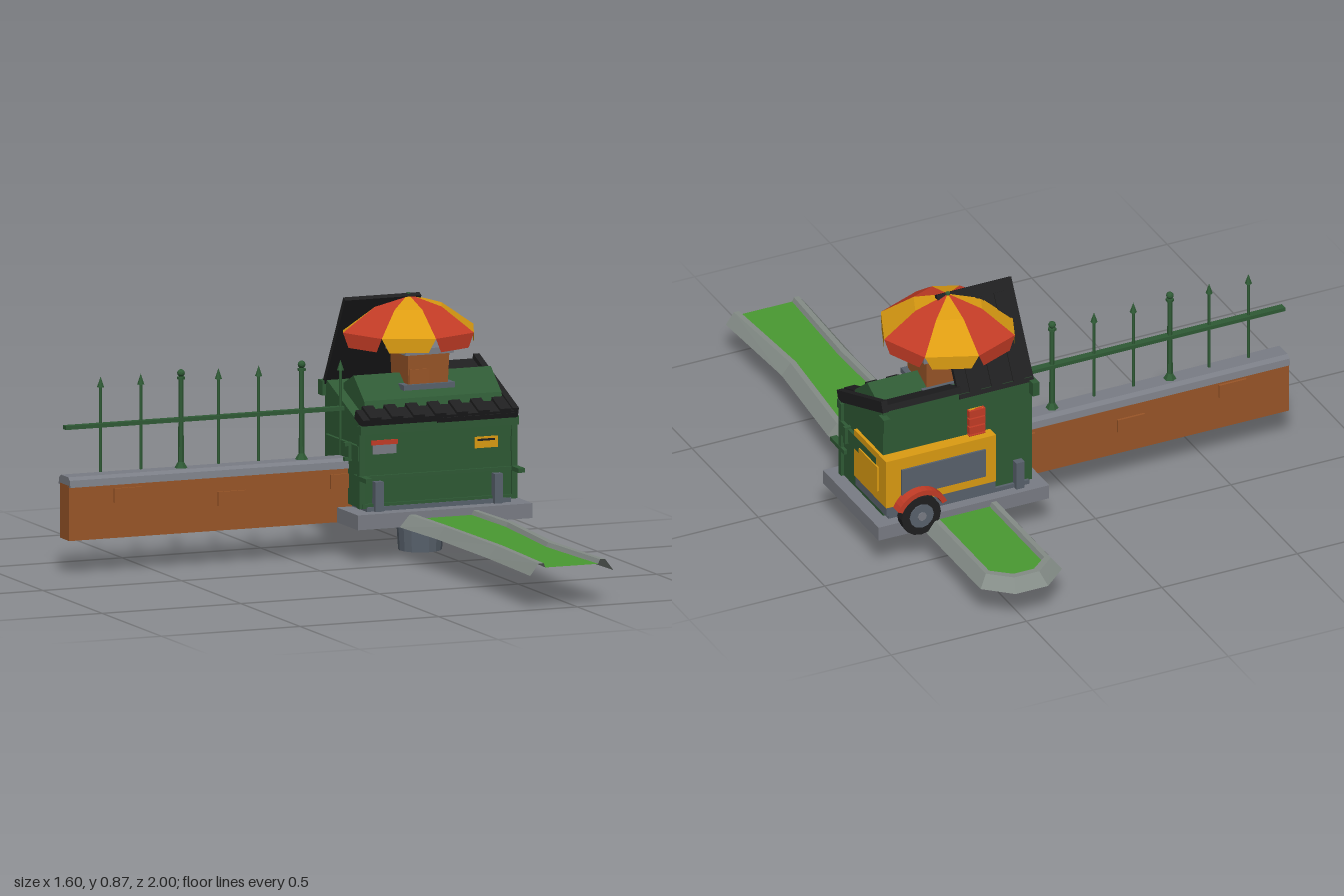
import * as THREE from 'three';

const mat = (name, color, side = THREE.FrontSide) =>
  new THREE.MeshStandardMaterial({ name, color, side, flatShading: true });

export function createModel() {
  const M = {
    green: mat('dark green', 0x2f5a35), grass: mat('grass green', 0x4a9a32, THREE.DoubleSide),
    brick: mat('brick brown', 0x9a5628), stone: mat('stone grey', 0x7a7d85),
    curb: mat('curb grey', 0x848c87, THREE.DoubleSide), slate: mat('slate grey', 0x59626d),
    black: mat('black', 0x1f1f20), yellow: mat('yellow', 0xdc9c12, THREE.DoubleSide),
    red: mat('red', 0xc43c26, THREE.DoubleSide), blue: mat('blue', 0x2c6aa8),
  };
  const root = new THREE.Group();
  root.name = 'dumpsterCorner';

  const add = (name, geo, m, x = 0, y = 0, z = 0, rx = 0) => {
    const mesh = new THREE.Mesh(geo, m);
    mesh.name = name;
    mesh.position.set(x, y, z);
    mesh.rotation.x = rx;
    root.add(mesh);
    return mesh;
  };
  // Box given by its limits on each axis
  const box = (name, m, [x0, x1], [y0, y1], [z0, z1]) =>
    add(name, new THREE.BoxGeometry(x1 - x0, y1 - y0, z1 - z0), m, (x0 + x1) / 2, (y0 + y1) / 2, (z0 + z1) / 2);
  const cyl = (name, m, rTop, rBot, h, n, x, y, z, rx = 0) =>
    add(name, new THREE.CylinderGeometry(rTop, rBot, h, n), m, x, y, z, rx);
  const shape = (pts) => new THREE.Shape(pts.map(([a, b]) => new THREE.Vector2(a, b)));
  // Side profile of [z, y] points, extruded along x
  const profileX = (name, m, pts, x0, x1) => {
    const geo = new THREE.ExtrudeGeometry(shape(pts.map(([z, y]) => [-z, y])), { depth: x1 - x0, bevelEnabled: false });
    return add(name, geo.rotateY(Math.PI / 2), m, x0);
  };
  const triMesh = (name, m, tris) => {
    const geo = new THREE.BufferGeometry();
    geo.setAttribute('position', new THREE.Float32BufferAttribute(tris.flat(2), 3));
    geo.computeVertexNormals();
    return add(name, geo, m);
  };

  // Grass path with sloping curbs
  const curbProfile = [[0, 0.115], [0.55, 0.155], [0.88, 0.155], [1, 0.14]];
  const curb = (name, outer, inner) => {
    const tris = [];
    const at = (i, [t, y]) => [
      THREE.MathUtils.lerp(outer[i][0], inner[i][0], t), y, THREE.MathUtils.lerp(outer[i][1], inner[i][1], t)];
    for (let i = 0; i + 1 < outer.length; i++) {
      for (let j = 0; j < 3; j++) {
        const [a, b] = [at(i, curbProfile[j]), at(i + 1, curbProfile[j])];
        const [c, d] = [at(i, curbProfile[j + 1]), at(i + 1, curbProfile[j + 1])];
        tris.push([a, c, b], [b, c, d]);
      }
    }
    triMesh(name, M.curb, tris);
  };
  const lawn = (name, pts) =>
    add(name, new THREE.ShapeGeometry(shape(pts.map(([x, z]) => [x, -z]))).rotateX(-Math.PI / 2), M.grass, 0, 0.14, 0);
  const outL = [[0.33, 1], [0.34, 0.62], [0.335, 0.2], [0.315, -0.08]];
  const inL = [[0.385, 1], [0.4, 0.62], [0.39, 0.2], [0.38, -0.08]];
  const outR = [[0.63, 1], [0.61, 0.62], [0.645, 0.2], [0.625, -0.08]];
  const inR = [[0.575, 1], [0.55, 0.62], [0.585, 0.2], [0.575, -0.08]];
  const outB = [[0.33, -0.47], [0.33, -0.92], [0.42, -1], [0.54, -1], [0.63, -0.92], [0.63, -0.47]];
  const inB = [[0.385, -0.47], [0.385, -0.88], [0.445, -0.93], [0.515, -0.93], [0.575, -0.88], [0.575, -0.47]];
  curb('frontCurbA', outL, inL);
  curb('frontCurbB', outR, inR);
  curb('backCurb', outB, inB);
  lawn('frontGrass', [...inL, ...[...inR].reverse()]);
  lawn('backGrass', inB);

  // Slab with an open pit underneath
  const slab = shape([[0.165, 0.068], [0.795, 0.068], [0.795, 0.488], [0.165, 0.488]]);
  slab.holes.push(new THREE.Path([[0.25, 0.13], [0.25, 0.43], [0.71, 0.43], [0.71, 0.13]].map(([a, b]) => new THREE.Vector2(a, b))));
  add('slab', new THREE.ExtrudeGeometry(slab, { depth: 0.05, bevelEnabled: false }).rotateX(-Math.PI / 2), M.stone, 0, 0.115, 0);
  box('basePlate', M.slate, [0.22, 0.74], [0.16, 0.18], [-0.45, -0.12]);
  cyl('footing', M.slate, 0.084, 0.073, 0.17, 16, 0.478, 0.085, -0.275);
  box('pitTank', M.blue, [0.57, 0.67], [0.12, 0.16], [-0.36, -0.2]);
  box('pitTankSmall', M.blue, [0.29, 0.36], [0.125, 0.16], [-0.4, -0.32]);
  for (const z of [-0.4, -0.16]) box('pitPipe', M.brick, [0.25, 0.71], [0.125, 0.14], [z - 0.008, z + 0.008]);

  // Garden wall with raised bricks
  box('wall', M.brick, [-0.8, 0.22], [0.115, 0.3], [-0.325, -0.245]);
  profileX('wallCap', M.stone, [[-0.235, 0.295], [-0.24, 0.318], [-0.255, 0.328], [-0.315, 0.328], [-0.33, 0.318], [-0.335, 0.295]], -0.8, 0.22);
  for (const [x, y] of [[-0.59, 0.258], [-0.215, 0.222], [0.19, 0.253]]) {
    box('raisedBrick', M.brick, [x - 0.05, x + 0.05], [y - 0.024, y + 0.024], [-0.333, -0.237]);
  }

  // Iron fence
  box('fenceRail', M.green, [-0.8, 0.22], [0.484, 0.497], [-0.298, -0.272]);
  [-0.67, -0.525, -0.38, -0.245, -0.1, 0.055, 0.195].forEach((x, i) => {
    const z = -0.285;
    if (i % 3 === 2) {
      cyl('fencePost', M.green, 0.008, 0.01, 0.31, 6, x, 0.48, z);
      cyl('postFoot', M.green, 0.01, 0.022, 0.02, 6, x, 0.338, z);
      cyl('postCollar', M.green, 0.014, 0.014, 0.008, 6, x, 0.63, z);
      add('postBall', new THREE.IcosahedronGeometry(0.013, 1), M.green, x, 0.647, z);
    } else {
      cyl('fenceSpike', M.green, 0.005, 0.005, 0.29, 6, x, 0.478, z);
      cyl('spikeTip', M.green, 0, 0.012, 0.036, 6, x, 0.636, z);
    }
  });

  // Dumpster body
  profileX('body', M.green, [[-0.134, 0.175], [-0.13, 0.45], [-0.44, 0.57], [-0.44, 0.175]], 0.205, 0.755);
  box('frontLip', M.green, [0.195, 0.765], [0.425, 0.455], [-0.134, -0.112]);
  box('frontSill', M.green, [0.205, 0.755], [0.272, 0.284], [-0.134, -0.122]);
  box('bottomSill', M.green, [0.205, 0.755], [0.175, 0.19], [-0.134, -0.124]);
  for (const x of [0.205, 0.755]) {
    box('cornerPost', M.green, [x - 0.01, x + 0.01], [0.175, 0.45], [-0.145, -0.125]);
    box('sidePocket', M.green, [x - 0.012, x + 0.012], [0.335, 0.385], [-0.41, -0.13]);
    box('forwardHandle', M.green, [x - 0.012, x + 0.012], [0.27, 0.285], [-0.17, -0.066]);
    box('backRail', M.green, [x - 0.012, x + 0.012], [0.51, 0.56], [-0.47, -0.43]);
  }
  for (const s of [-1, 1]) { // side grips
    const x = 0.48 + s * 0.292;
    box('grip', M.green, [x - 0.006, x + 0.006], [0.33, 0.39], [-0.2, -0.185]);
    for (const y of [0.335, 0.385]) box('gripArm', M.green, [x - 0.02, x + 0.006], [y - 0.006, y + 0.006], [-0.2, -0.185]);
  }
  for (const x of [0.26, 0.69]) for (const z of [-0.122, -0.45]) {
    box('leg', M.slate, [x - 0.015, x + 0.015], [0.165, 0.265], [z - 0.016, z + 0.016]);
  }

  // Front stickers
  box('stickerRed', M.red, [0.24, 0.335], [0.386, 0.402], [-0.135, -0.127]);
  box('stickerGrey', M.stone, [0.245, 0.33], [0.355, 0.386], [-0.135, -0.127]);
  box('stickerYellow', M.yellow, [0.612, 0.695], [0.352, 0.39], [-0.135, -0.127]);
  box('stickerBlack', M.black, [0.622, 0.685], [0.376, 0.383], [-0.13, -0.126]);

  // Closed lid, its ribs, and the raised lid half
  const tilt = 0.375;
  add('closedLid', new THREE.BoxGeometry(0.29, 0.022, 0.36), M.black, 0.615, 0.522, -0.277, tilt);
  add('lidFrontEdge', new THREE.BoxGeometry(0.56, 0.03, 0.07), M.black, 0.48, 0.474, -0.142, tilt);
  add('lidSideEdge', new THREE.BoxGeometry(0.022, 0.04, 0.36), M.black, 0.75, 0.53, -0.277, tilt);
  for (let i = 0; i < 7; i++) {
    add('lidRib', new THREE.BoxGeometry(0.04, 0.03, 0.08), M.black, 0.245 + i * 0.078, 0.484, -0.142, tilt);
  }
  add('raisedLid', new THREE.BoxGeometry(0.275, 0.356, 0.018), M.black, 0.3375, 0.705, -0.3525, 0.514);
  for (let i = 0; i < 3; i++) {
    add('raisedLidRib', new THREE.BoxGeometry(0.04, 0.3, 0.012), M.black, 0.255 + i * 0.08, 0.698, -0.365, 0.514);
  }

  // Little gable roof and chimney
  profileX('gable', M.green, [[-0.17, 0.47], [-0.19, 0.525], [-0.28, 0.598], [-0.365, 0.56], [-0.365, 0.5]], 0.24, 0.735);
  box('chimneyFlashing', M.slate, [0.385, 0.57], [0.55, 0.568], [-0.36, -0.195]);
  const stack = cyl('chimney', M.brick, 0.106, 0.1, 0.115, 4, 0.478, 0.612, -0.278);
  stack.rotation.y = Math.PI / 4;
  box('chimneyBrick', M.brick, [0.41, 0.48], [0.57, 0.618], [-0.25, -0.2]);
  box('chimneyCap', M.stone, [0.39, 0.565], [0.667, 0.688], [-0.362, -0.192]);

  // Parasol: eight panels with hanging flaps
  const tris = { red: [], yellow: [] };
  const [cx, cz] = [0.435, -0.275];
  const rim = (a, r, y) => [cx + r * Math.sin(a), y, cz + r * Math.cos(a)];
  const rings = [[0, 0.86], [0.12, 0.825], [0.235, 0.745], [0.226, 0.697]];
  for (let k = 0; k < 8; k++) {
    const list = k % 2 ? tris.yellow : tris.red;
    for (let j = 0; j < 3; j++) {
      const trim = j === 2 ? 0.1 : 0;
      const [a0, a1] = [k * Math.PI / 4, (k + 1) * Math.PI / 4];
      const [p, q] = [rim(a0, ...rings[j]), rim(a1, ...rings[j])];
      const [r, s] = [rim(a0 + trim, ...rings[j + 1]), rim(a1 - trim, ...rings[j + 1])];
      list.push([p, r, s]);
      if (j) list.push([p, s, q]);
    }
  }
  triMesh('parasolRed', M.red, tris.red);
  triMesh('parasolYellow', M.yellow, tris.yellow);
  cyl('parasolPole', M.green, 0.008, 0.008, 0.19, 8, cx, 0.77, cz);

  // Yellow trailer box at the back
  box('trailerBox', M.yellow, [0.36, 0.766], [0.23, 0.408], [-0.485, -0.245]);
  box('trailerBase', M.slate, [0.36, 0.762], [0.195, 0.23], [-0.48, -0.245]);
  box('trailerBackPanel', M.slate, [0.4, 0.71], [0.262, 0.365], [-0.492, -0.484]);
  box('trailerSidePanel', M.yellow, [0.76, 0.772], [0.268, 0.36], [-0.43, -0.29]);
  for (let i = 0; i < 4; i++) {
    box('tailLight', M.red, [0.385, 0.445], [0.385 + i * 0.031, 0.411 + i * 0.031], [-0.458, -0.436]);
  }
  box('tailLightPlate', M.yellow, [0.39, 0.44], [0.385, 0.504], [-0.45, -0.436]);

  // Wheel and mudguard
  const side = Math.PI / 2;
  cyl('tyre', M.black, 0.072, 0.072, 0.036, 16, 0.65, 0.188, -0.497, side);
  cyl('wheelRim', M.slate, 0.044, 0.044, 0.042, 12, 0.65, 0.188, -0.498, side);
  cyl('wheelHub', M.stone, 0.016, 0.016, 0.048, 8, 0.65, 0.188, -0.499, side);
  const guard = new THREE.Shape();
  guard.absarc(0, 0, 0.098, 0.4, Math.PI - 0.4, false);
  guard.absarc(0, 0, 0.08, Math.PI - 0.4, 0.4, true);
  add('mudguard', new THREE.ExtrudeGeometry(guard, { depth: 0.045, bevelEnabled: false, curveSegments: 6 }), M.red, 0.65, 0.19, -0.525);

  return root;
}
